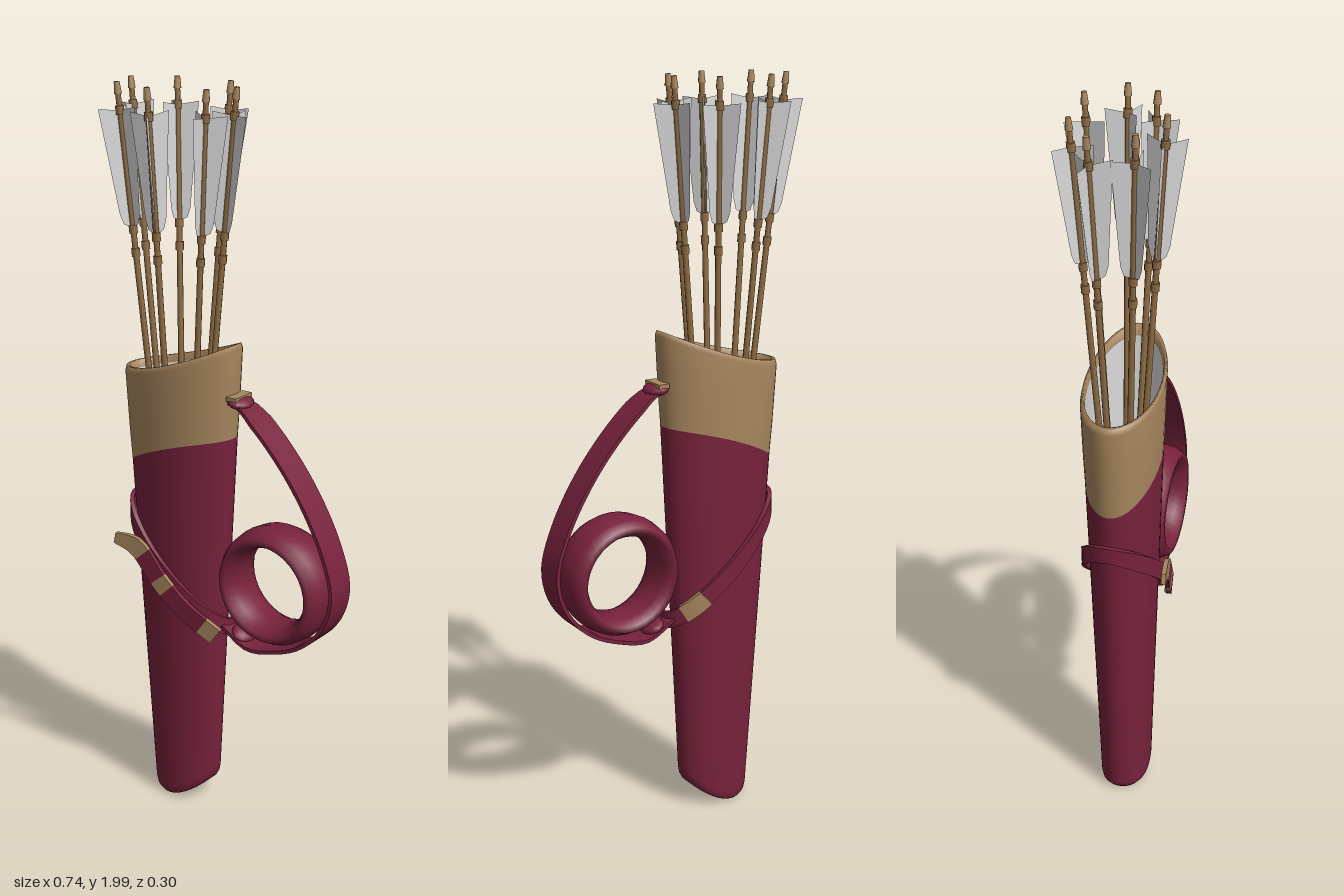
import * as THREE from 'three';
import { toCreasedNormals } from 'three/addons/utils/BufferGeometryUtils.js';

const mat = (name, color, side = THREE.FrontSide) => {
  const m = new THREE.MeshStandardMaterial({ color, side });
  m.name = name;
  return m;
};

// Skin a list of closed rings (each a list of Vector3)
function skin(rings) {
  const n = rings[0].length, pos = [], idx = [];
  rings.forEach(r => r.forEach(p => pos.push(p.x, p.y, p.z)));
  for (let r = 0; r < rings.length - 1; r++)
    for (let i = 0; i < n; i++) {
      const a = r * n + i, b = r * n + (i + 1) % n;
      idx.push(a, a + n, b, b, a + n, b + n);
    }
  const g = new THREE.BufferGeometry();
  g.setAttribute('position', new THREE.Float32BufferAttribute(pos, 3));
  g.setIndex(idx);
  g.computeVertexNormals();
  return g;
}

// Flat band swept along a curve between u0 and u1; across(p, t) gives its width direction
function ribbon(curve, across, width, thick, u0 = 0, u1 = 1, steps = 48) {
  const rings = [];
  for (let i = 0; i <= steps; i++) {
    const u = u0 + (u1 - u0) * i / steps;
    const p = curve.getPointAt(u), t = curve.getTangentAt(u);
    const w = across(p, t).normalize(), n = t.clone().cross(w);
    const ww = typeof width === 'function' ? width(u) : width;
    const ring = [[1, 1], [1, -1], [-1, -1], [-1, 1]].map(([a, b]) =>
      p.clone().addScaledVector(w, a * ww / 2).addScaledVector(n, b * thick / 2));
    const end = ring.map(() => p.clone());
    if (i === 0) rings.push(end);
    rings.push(ring);
    if (i === steps) rings.push(end);
  }
  return toCreasedNormals(skin(rings), 0.7);
}

const V = (x, y, z) => new THREE.Vector3(x, y, z);
const path = (pts, closed = false) => new THREE.CatmullRomCurve3(pts.map(p => V(...p)), closed);

// Quiver outline: slanted bottom, colour seam and rim as functions of c = cos(angle)
const yBottom = c => 0.016 + 0.037 * c + 0.033 * c * c;
const ySeam = c => 1.065 + 0.06 * c - 0.02 * c * c;
const yRim = c => 1.29 + 0.055 * c + 0.015 * c * c;

// Ring of the quiver; height(c) runs 0 at the bottom to 1 at the rim
function quiverRing(height, scale = 1, lift = 0) {
  return Array.from({ length: 48 }, (_, i) => {
    const a = i / 48 * Math.PI * 2, c = Math.cos(a) * scale, s = Math.sin(a) * scale;
    const h = height(Math.cos(a));
    return V(-0.131 - 0.006 * h + (0.102 + 0.076 * h) * c,
      THREE.MathUtils.lerp(yBottom(c), yRim(c), h) + lift, (0.067 + 0.033 * h) * s);
  });
}

export function createModel() {
  const root = new THREE.Group();
  root.name = 'quiver';
  const red = mat('red leather', 0x78223c);
  const tan = mat('tan leather', 0xa8875f);
  const wood = mat('arrow wood', 0x8f6d45);
  const white = mat('white feather', 0xd8d8d8, THREE.DoubleSide);
  const add = (name, geo, m, parent = root) => {
    const mesh = new THREE.Mesh(geo, m);
    mesh.name = name;
    parent.add(mesh);
    return mesh;
  };

  // Quiver body, collar and lining
  const seam = c => (ySeam(c) - yBottom(c)) / (yRim(c) - yBottom(c));
  const body = [quiverRing(() => 0, 0), quiverRing(() => 0, 0.6), quiverRing(() => 0, 0.88),
    quiverRing(() => 0.008, 0.97), quiverRing(() => 0.022)];
  for (let k = 1; k <= 8; k++) body.push(quiverRing(c => 0.022 + (seam(c) - 0.022) * k / 8));
  add('quiverBody', skin(body), red);
  const collar = [0, 0.33, 0.66, 0.95].map(k => quiverRing(c => seam(c) + (1 - seam(c)) * k, k ? 1.01 : 1));
  collar.push(quiverRing(() => 1, 0.98, 0.002), quiverRing(() => 1, 0.92, 0.002), quiverRing(() => 0.985, 0.9));
  add('collar', skin(collar), tan);
  add('lining', skin([quiverRing(() => 0.985, 0.9), quiverRing(() => 0.6, 0.9),
    quiverRing(() => 0.1, 0.9), quiverRing(() => 0.1, 0)]), white);

  // Carrying strap
  const strapPath = path([[0.035, 1.21, 0], [0.07, 1.2, 0], [0.16, 1.125, 0], [0.26, 1.005, 0], [0.335, 0.87, 0],
    [0.365, 0.76, 0], [0.34, 0.665, 0], [0.27, 0.59, 0], [0.18, 0.55, 0], [0.1, 0.537, 0], [0.02, 0.58, 0]]);
  add('strap', ribbon(strapPath, () => V(0, 0, 1), u => 0.085 - 0.03 * Math.max(0, 1 - u * 12), 0.01), red);
  const toggle = (x, y, tilt) => {
    const t = add('strapToggle', new THREE.SphereGeometry(1, 12, 8), red);
    t.scale.set(0.032, 0.016, 0.042);
    t.position.set(x, y, 0);
    t.rotation.z = tilt;
  };
  toggle(0.05, 1.21, -0.2);
  toggle(0.065, 0.56, -0.5);
  const tab = add('strapTab', new THREE.BoxGeometry(0.03, 0.012, 0.07), tan);
  tab.position.set(0.045, 1.222, 0);

  // Rolled leather ring
  const roll = add('rolledRing', new THREE.TorusGeometry(0.135, 0.027, 10, 36), red);
  roll.scale.z = 2.6;
  roll.position.set(0.17, 0.73, -0.005);

  // Slanted belt around the body
  const cx = -0.135;
  const beltPath = path(Array.from({ length: 20 }, (_, i) => {
    const a = i / 20 * Math.PI * 2, c = Math.cos(a);
    return [cx + 0.163 * c, 0.722 - 0.15 * c, 0.102 * Math.sin(a)];
  }), true);
  const beltSide = (p, t) => V((p.x - cx) * 0.4, 0, p.z).cross(t);
  add('belt', ribbon(beltPath, beltSide, 0.045, 0.012, 0, 1, 64), red);
  add('beltPatch', ribbon(beltPath, beltSide, 0.048, 0.017, 0.86, 0.93, 8), tan);

  // Loose belt tail in front, with tan sections
  const tailPath = path([[-0.265, 0.8, 0.137], [-0.2, 0.785, 0.128], [-0.13, 0.7, 0.118],
    [-0.06, 0.63, 0.104], [0.025, 0.565, 0.075]]);
  const tailSide = (p, t) => V(0.1, 0, 1).cross(t);
  [[0, 0.24, tan], [0.24, 0.44, red], [0.44, 0.54, tan], [0.54, 0.88, red], [0.88, 1, tan]].forEach(([a, b, m]) =>
    add('beltTail', ribbon(tailPath, tailSide, u => 0.03 + 0.024 * Math.min(1, u * 6), 0.012, a, b, 10), m));

  // Arrows fan out from a common point deep in the quiver
  const base = V(-0.138, 0.3, 0);
  const vane = new THREE.Shape([[0.004, 0.365], [0.022, 0.355], [0.03, 0.33], [0.055, 0.062], [0.004, 0.07]]
    .map(([x, d]) => new THREE.Vector2(x, -d)));
  const vaneGeo = new THREE.ShapeGeometry(vane);
  const nocks = [[-0.322, -0.03], [-0.227, -0.1], [-0.283, 0.07], [-0.155, 0.108],
    [-0.018, 0.05], [-0.066, -0.112], [0.014, -0.03]];
  nocks.forEach(([x, z], i) => {
    const tip = V(x, 1.995, z), dir = tip.clone().sub(base), len = dir.length();
    const arrow = new THREE.Group();
    arrow.name = 'arrow';
    arrow.position.copy(tip);
    arrow.quaternion.setFromUnitVectors(V(0, 1, 0), dir.normalize());
    root.add(arrow);
    add('shaft', new THREE.CylinderGeometry(0.007, 0.01, len - 0.02, 8), wood, arrow).position.y = -len / 2 - 0.01;
    add('nock', new THREE.CylinderGeometry(0.007, 0.01, 0.03, 8), tan, arrow).position.y = -0.015;
    for (const d of [0.07, 0.37, 0.43])
      add('binding', new THREE.CylinderGeometry(0.011, 0.011, 0.022, 8), wood, arrow).position.y = -d;
    for (let k = 0; k < 3; k++)
      add('feather', vaneGeo, white, arrow).rotation.y = -Math.atan2(z, x - base.x) + i * 0.25 + k * Math.PI * 2 / 3;
  });
  return root;
}
